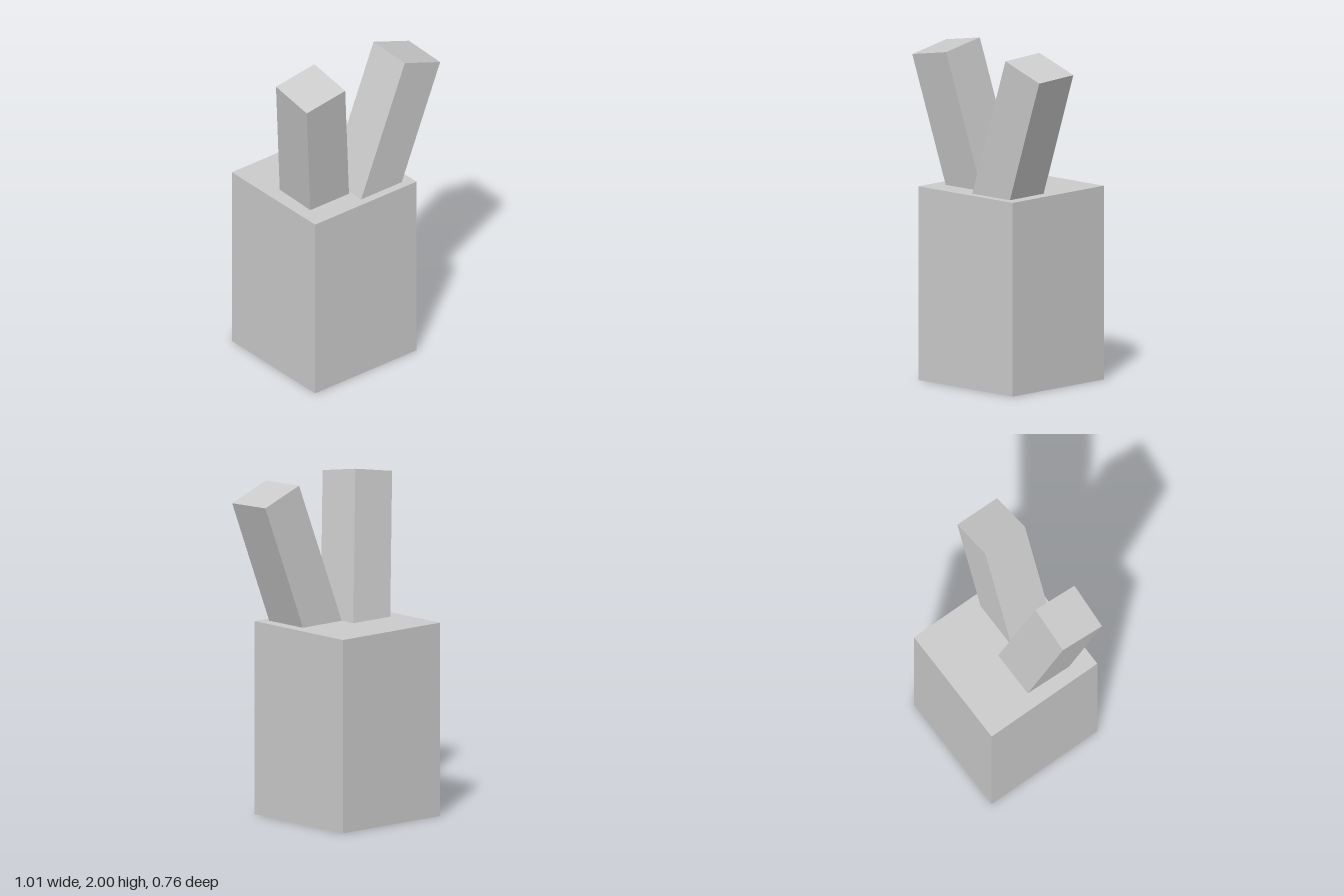
import * as THREE from 'three';

const rad = THREE.MathUtils.degToRad;

export function createModel() {
  const group = new THREE.Group();
  const material = new THREE.MeshStandardMaterial({ color: 0xcccccc, flatShading: true });

  // Upright block, set slightly to the right
  const body = new THREE.Mesh(new THREE.BoxGeometry(0.756, 1.136, 0.756), material);
  body.name = 'body';
  body.position.set(-0.07, 0.568, 0);
  group.add(body);

  // Square bars leaning out of the block, placed by the centre of their top face
  const length = 1.1;
  const addEar = (name, top, tiltX, tiltZ) => {
    const geometry = new THREE.BoxGeometry(0.284, length, 0.284);
    geometry.translate(0, -length / 2, 0);
    const ear = new THREE.Mesh(geometry, material);
    ear.name = name;
    ear.position.set(...top);
    ear.rotation.set(rad(tiltX), 0, rad(tiltZ));
    group.add(ear);
  };
  addEar('rightEar', [-0.364, 1.952, 0.235], 10, 10);
  addEar('leftEar', [0.368, 1.912, 0.218], 2.3, -20);

  return group;
}
